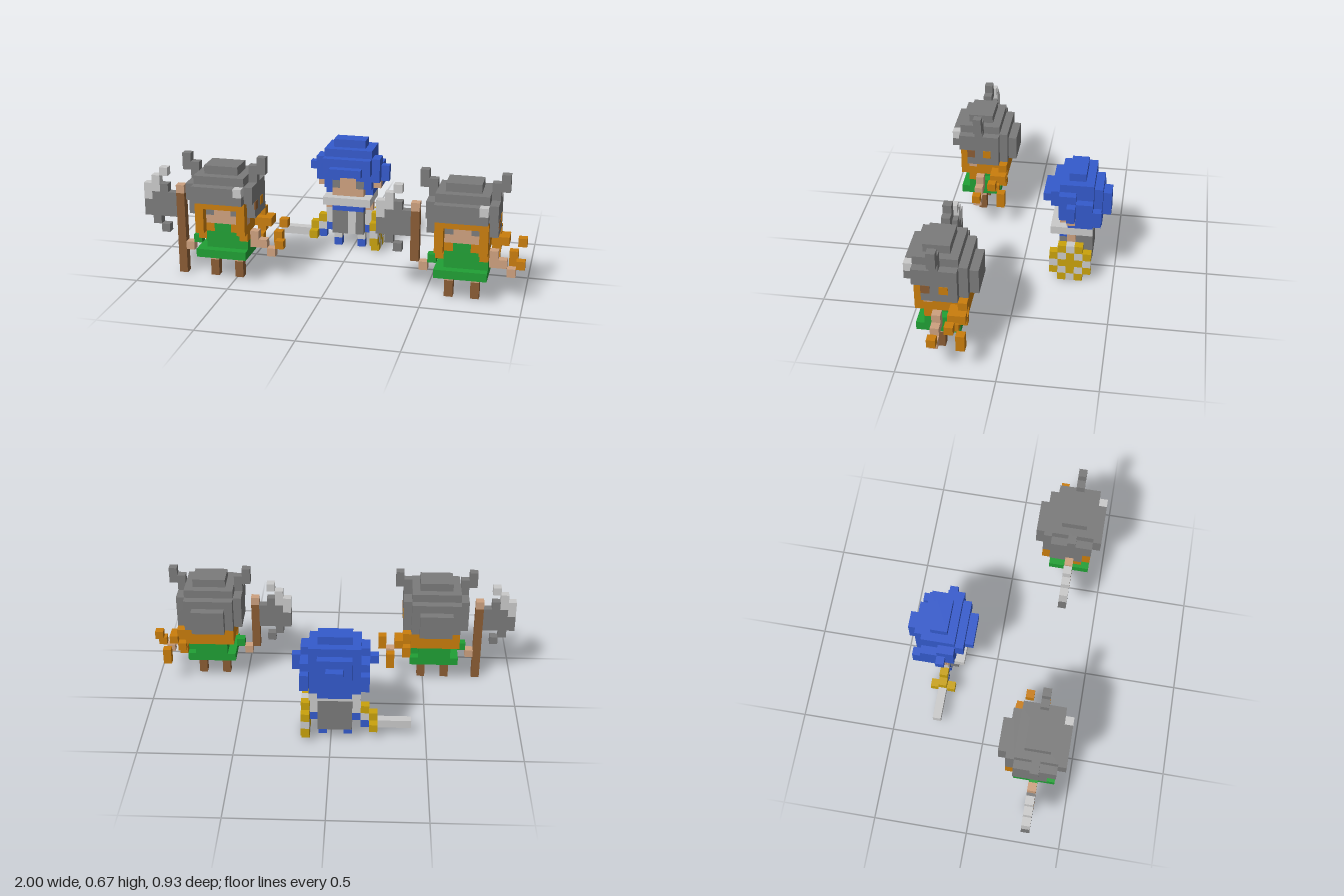
import * as THREE from 'three';

const U = 2 / 45; // edge of one cube
const mat = (name, color) => {
  const m = new THREE.MeshStandardMaterial({ color });
  m.name = name;
  return m;
};

export function createModel() {
  const blue = mat('blue', 0x345acc), grey = mat('iron grey', 0x7b7b7b), pale = mat('pale steel', 0xcacaca);
  const orange = mat('orange hair', 0xc97d0c), green = mat('green cloth', 0x20a035), skin = mat('skin', 0xcda17f);
  const brown = mat('brown wood', 0x8a5c34), yellow = mat('yellow', 0xc9a20c);

  // Box over inclusive cube ranges: columns to +x, rows up, layers from front to back
  function block(parent, name, m, c, r, k) {
    const [c0, c1 = c0] = [].concat(c), [r0, r1 = r0] = [].concat(r), [k0, k1 = k0] = [].concat(k);
    const mesh = new THREE.Mesh(
      new THREE.BoxGeometry((c1 - c0 + 1) * U, (r1 - r0 + 1) * U, (k1 - k0 + 1) * U), m);
    mesh.position.set(-1 + (c0 + c1 + 1) * U / 2, (r0 + r1 + 1) * U / 2, 21 * U / 2 - (k0 + k1 + 1) * U / 2);
    mesh.name = name;
    parent.add(mesh);
  }

  function axeWarrior(name, poleBottom) {
    const g = new THREE.Group();
    g.name = name;
    const b = (...a) => block(g, ...a);
    // Legs
    for (const c of [8, 11]) {
      b('boot', brown, c, [0, 1], 3);
      b('leg', skin, c, 2, 3);
    }
    // Dress
    b('skirt', green, [7, 12], 3, [1, 5]);
    b('dress', green, [8, 11], [4, 5], [2, 5]);
    b('dressTop', green, [9, 10], 6, [2, 5]);
    // Arms
    b('rightSleeve', green, 6, 4, 3);
    b('rightHand', skin, 5, 3, 3);
    b('leftSleeve', green, 12, 4, [2, 4]);
    b('leftArm', skin, 13, [4, 5], 3);
    b('leftForearm', skin, 14, 4, 3);
    b('leftHand', skin, 15, 3, 3);
    // Head with eyes
    b('head', skin, [8, 11], [7, 9], [3, 5]);
    b('face', skin, [8, 11], 7, 2);
    b('nose', skin, [9, 10], 8, 2);
    for (const c of [8, 11]) b('eye', grey, c, 8, 2);
    // Hair around the face, mirrored about the middle
    b('fringe', orange, [7, 12], 9, [1, 2]);
    for (const [outer, inner] of [[7, 8], [12, 11]]) {
      b('cheek', skin, outer, [7, 8], 2);
      b('frontLock', orange, outer, [6, 8], 1);
      b('lowerLock', orange, outer, [5, 6], 2);
      b('sideHair', orange, outer, [6, 8], [3, 5]);
      b('innerLock', orange, inner, 6, [2, 5]);
    }
    b('backHair', orange, [7, 12], [6, 7], 6);
    // Wind-blown strands
    const strands = [[13, 7, 6], [13, 5, 6], [14, 6, 6], [15, 4, 6], [15, 3, 6], [13, 6, 5], [14, 6, 5], [13, 4, 5],
      [16, 6, 5], [16, 4, 3]];
    for (const [c, r, k] of strands) b('hairStrand', orange, c, r, k);
    // Helmet
    for (const c of [6, 13]) b('helmetSide', grey, c, [8, 9], [2, 5]);
    b('helmetBack', grey, [7, 12], [8, 11], 6);
    b('helmetNeck', grey, [8, 11], [8, 10], 7);
    b('helmetBand', grey, [6, 13], [10, 11], [1, 5]);
    b('helmetBrow', grey, [7, 11], [10, 11], 0);
    b('helmetBrowCorner', grey, 12, 10, 0);
    b('helmetShine', pale, 12, 11, 0);
    b('helmetDome', grey, [7, 12], 12, [1, 5]);
    b('helmetTop', grey, [8, 11], 13, [2, 4]);
    // Small plates on the left side of the helmet
    for (const [m, k] of [[brown, 2], [orange, 4]]) b('sidePlate', m, [13.9, 13.05], 9, k);
    // Horns
    for (const [root, tip] of [[6, 5], [13, 14]]) {
      b('hornRoot', grey, root, 12, 3);
      b('hornTip', grey, tip, [13, 14], 3);
      b('hornBend', grey, root, 13, 3);
    }
    // Axe
    b('axePole', brown, 4, [poleBottom, 9], 3);
    b('axePoleTip', skin, 4, 10, 3);
    b('axeNeck', grey, 3, [7, 9], 3);
    b('axeHead', grey, 2, [7, 10], 3);
    b('axeHeadOuter', grey, 1, [6, 9], 3);
    b('axeEdge', grey, 0, [7, 8], 3);
    b('axeLowerPoint', grey, 2, 5, 3);
    b('axeBrightEdge', pale, 0, [9, 10], 3);
    b('axeBrightMiddle', pale, 1, [10, 11], 3);
    b('axeBrightPoint', pale, 2, 12, 3);
    return g;
  }

  function swordFighter() {
    const g = new THREE.Group();
    g.name = 'swordFighter';
    const b = (...a) => block(g, ...a);
    // Legs
    for (const c of [20, 23]) {
      b('shoe', blue, c, 0, 16);
      b('leg', pale, c, 1, 16);
    }
    // Torso and collar
    b('torso', grey, [20, 23], [2, 4], [16, 18]);
    for (const [c, m] of [[[20, 21], grey], [22, pale], [23, grey]]) b('chest', m, c, [2, 4], 15);
    b('shirt', blue, [20, 23], 5, [15, 16]);
    b('upperBack', grey, [20, 23], 5, [17, 18]);
    b('collar', pale, [19, 24], 6, [14, 18]);
    // Arms
    for (const c of [19, 24]) {
      b('shoulder', skin, c, 5, 16);
      b('sleeve', pale, c, [3, 4], 16);
      b('hand', blue, c, 2, 16);
    }
    // Head with eyes and ears
    b('head', skin, [20, 23], [7, 9], [16, 18]);
    b('face', skin, [20, 23], 7, 15);
    b('nose', skin, [21, 22], [8, 9], 15);
    for (const c of [20, 23]) {
      b('eye', grey, c, 8, 15);
      b('fringe', blue, c, 9, 15);
    }
    for (const c of [18, 25]) b('ear', skin, c, 8, 16);
    // Hat
    for (const c of [19, 24]) {
      b('hatCheek', blue, c, [8, 9], 15);
      b('hatSide', blue, c, [7, 9], [16, 18]);
    }
    for (const c of [18, 25]) {
      b('hatFlap', blue, c, [8, 9], [17, 19]);
      b('hatUpperFlap', blue, c, [9, 11], [15, 16]);
      b('hatRearFlap', blue, c, 10, [17, 18]);
    }
    for (const c of [17, 26]) b('hatBrim', blue, c, 10, 16);
    b('hatBrimDrop', blue, 26, 9, 16);
    b('hatBack', blue, [20, 23], [7, 9], 19);
    b('hatTail', blue, [21, 22], [8, 10], 20);
    b('hatBand', blue, [19, 24], [10, 11], [14, 18]);
    b('hatBandBack', blue, [20, 23], [10, 11], 19);
    b('hatPeak', blue, [20, 23], 10, 13);
    b('hatDome', blue, [19, 24], 12, [15, 18]);
    b('hatTop', blue, [20, 23], 13, [16, 17]);
    // Shield on the left arm, rows from the bottom up
    ['.yly.', 'ylyly', 'lyyyl', 'ylyly', '.yly.'].forEach((row, r) => [...row].forEach((ch, i) => {
      if (ch !== '.') b('shieldTile', ch === 'y' ? yellow : pale, 25, r, 14 + i);
    }));
    // Sword in the right hand
    b('swordBlade', pale, [13, 16], 1, 16);
    b('swordGuard', yellow, 17, [1, 2], 16);
    for (const k of [15, 17]) b('swordGuardArm', yellow, 17, 1, k);
    b('swordGrip', pale, 18, 2, 16);
    b('swordPommel', yellow, 18, 3, 16);
    b('glove', blue, 18, 1, 16);
    return g;
  }

  const model = new THREE.Group();
  model.name = 'cubeWarriors';
  const second = axeWarrior('leftAxeWarrior', 4);
  second.position.x = 28 * U;
  model.add(axeWarrior('rightAxeWarrior', 0), swordFighter(), second);
  return model;
}
